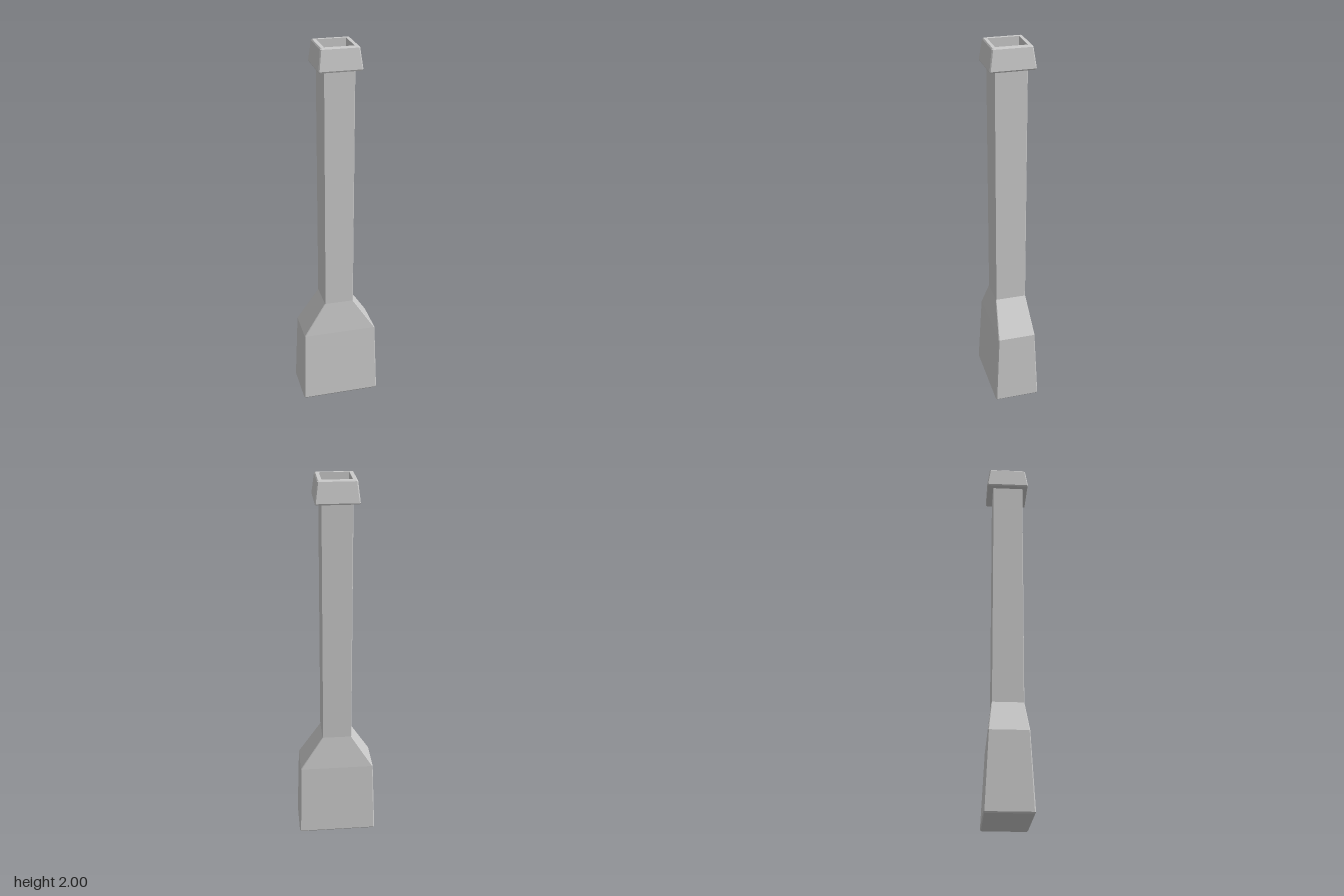
import * as THREE from 'three';

const material = new THREE.MeshStandardMaterial({ color: 0xcccccc, flatShading: true });

// Rectangle with chamfered corners, ordered from +x towards +z
function ring([y, x0, x1, z0, z1, c]) {
  return [
    [x1, y, z0 + c], [x1, y, z1 - c], [x1 - c, y, z1], [x0 + c, y, z1],
    [x0, y, z1 - c], [x0, y, z0 + c], [x0 + c, y, z0], [x1 - c, y, z0],
  ];
}

// Skin a stack of sections, closing the first and/or last one on request
function loft(name, sections, closeStart, closeEnd) {
  const rings = sections.map(ring);
  const pos = [];
  const tri = (a, b, c) => pos.push(...a, ...b, ...c);
  for (let i = 0; i < rings.length - 1; i++) {
    const lo = rings[i], hi = rings[i + 1];
    for (let j = 0; j < 8; j++) {
      const k = (j + 1) % 8;
      tri(lo[j], hi[j], lo[k]);
      tri(lo[k], hi[j], hi[k]);
    }
  }
  const first = rings[0], last = rings[rings.length - 1];
  for (let j = 1; j < 7; j++) {
    if (closeStart) tri(first[0], first[j], first[j + 1]);
    if (closeEnd) tri(last[0], last[j + 1], last[j]);
  }
  const geo = new THREE.BufferGeometry();
  geo.setAttribute('position', new THREE.Float32BufferAttribute(pos, 3));
  geo.computeVertexNormals();
  const mesh = new THREE.Mesh(geo, material);
  mesh.name = name;
  return mesh;
}

export function createModel() {
  const group = new THREE.Group();
  group.name = 'chimney';

  // Sections: y, x min, x max, z min, z max, corner chamfer
  const shaftTop = [1.885, -0.081, 0.077, -0.084, 0.083, 0.003];
  const shaftFoot = [0.59, -0.081, 0.077, -0.084, 0.083, 0.003];
  const shoulder = [0.405, -0.2, 0.2, -0.104, 0.1, 0.004];

  // Tapered foot and sloping shoulders
  group.add(loft('base', [
    [0, -0.209, 0.207, -0.119, 0.116, 0.006],
    [0.007, -0.214, 0.213, -0.124, 0.121, 0.006],
    shoulder,
    shaftFoot,
  ], true, false));

  // Straight square flue
  group.add(loft('shaft', [shaftFoot, shaftTop], false, false));

  // Flared cap with a square opening sunk into its top
  group.add(loft('cap', [
    shaftTop,
    [1.885, -0.108, 0.105, -0.116, 0.11, 0.005],
    [1.892, -0.112, 0.109, -0.119, 0.113, 0.005],
    [1.994, -0.1, 0.096, -0.105, 0.098, 0.006],
    [2, -0.095, 0.091, -0.1, 0.093, 0.006],
    [2, -0.077, 0.073, -0.083, 0.077, 0.001],
    [1.8, -0.077, 0.073, -0.083, 0.077, 0.001],
  ], false, true));

  return group;
}
